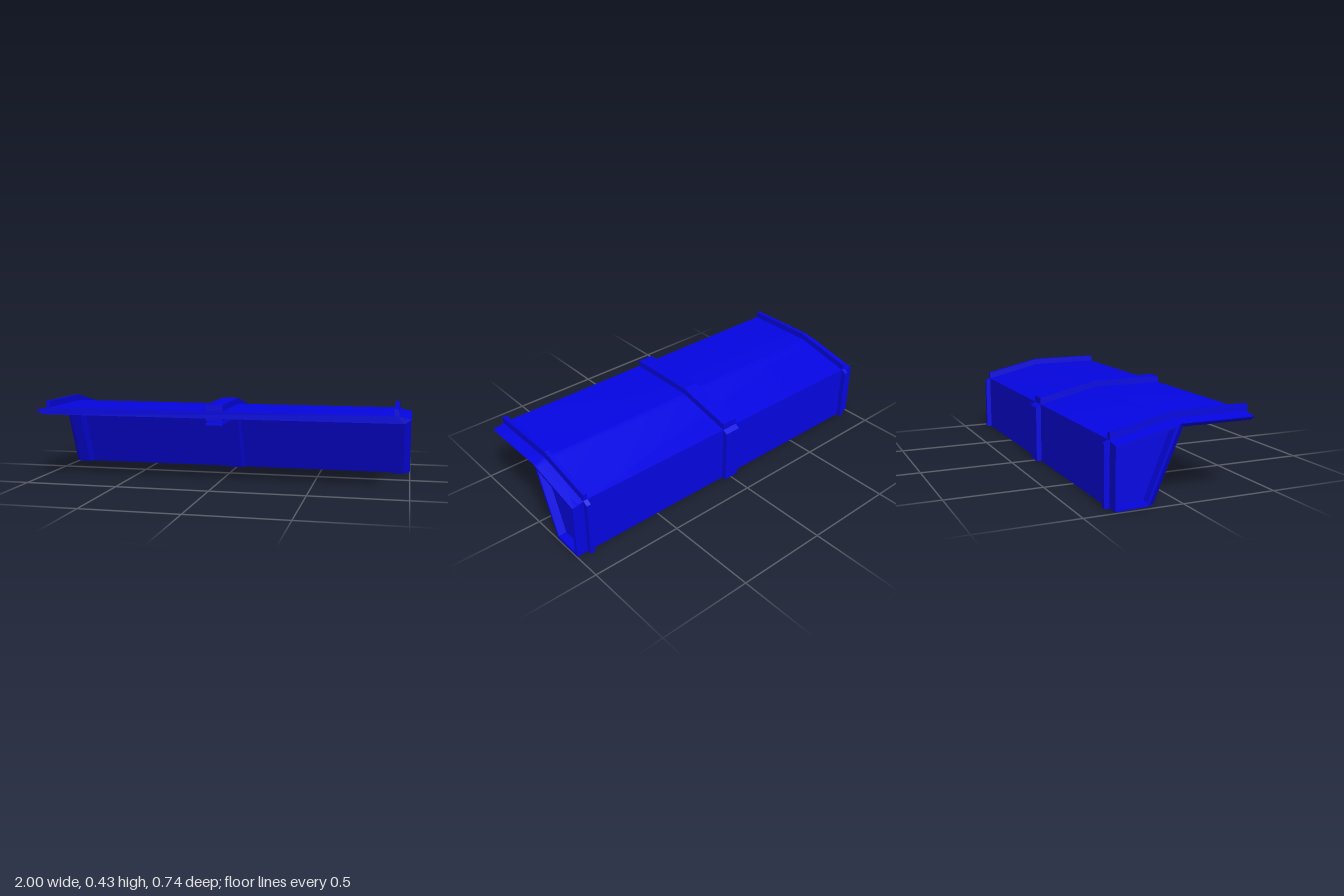
import * as THREE from 'three';
import { toCreasedNormals } from 'three/addons/utils/BufferGeometryUtils.js';

const material = new THREE.MeshStandardMaterial({ color: 0x0505e2 });

// Skin through a list of convex rings of [x, y, z], capped at both ends.
function loft(rings, flip = false) {
  const pos = [];
  const tri = (a, b, c) => pos.push(...a, ...(flip ? c : b), ...(flip ? b : c));
  const n = rings[0].length;
  for (let r = 0; r + 1 < rings.length; r++) {
    const a = rings[r], b = rings[r + 1];
    for (let i = 0; i < n; i++) {
      const j = (i + 1) % n;
      tri(a[i], a[j], b[j]);
      tri(a[i], b[j], b[i]);
    }
  }
  const first = rings[0], last = rings[rings.length - 1];
  for (let i = 1; i + 1 < n; i++) {
    tri(first[0], first[i + 1], first[i]);
    tri(last[0], last[i], last[i + 1]);
  }
  const geo = new THREE.BufferGeometry();
  geo.setAttribute('position', new THREE.Float32BufferAttribute(pos, 3));
  geo.computeVertexNormals();
  return toCreasedNormals(geo, THREE.MathUtils.degToRad(15));
}

// Side profile of [z, y] points, extruded along x and centred on x.
function prism(profile, width, x = 0, holes = []) {
  const toVec = ([z, y]) => new THREE.Vector2(-z, y);
  const shape = new THREE.Shape(profile.map(toVec));
  for (const hole of holes) shape.holes.push(new THREE.Path(hole.map(toVec)));
  const geo = new THREE.ExtrudeGeometry(shape, { depth: width, bevelEnabled: false });
  return geo.rotateY(Math.PI / 2).translate(x - width / 2, 0, 0);
}

export function createModel() {
  const model = new THREE.Group();
  const add = (name, geo, parent = model) => {
    const mesh = new THREE.Mesh(geo, material);
    mesh.name = name;
    parent.add(mesh);
  };

  // Bent roof slab with chamfered ends: upper edge, outer tip, lower edge
  const roofRing = ([topZ, top], [midZ, mid], [botZ, bot]) => [
    [0.92, top, topZ], [1, mid, midZ], [0.965, bot, botZ],
    [-0.965, bot, botZ], [-1, mid, midZ], [-0.92, top, topZ],
  ];
  add('roof', loft([
    roofRing([0.372, 0.395], [0.372, 0.378], [0.372, 0.355]),
    roofRing([-0.025, 0.395], [-0.025, 0.378], [0.01, 0.355]),
    roofRing([-0.05, 0.389], [-0.05, 0.372], [-0.05, 0.366]),
    roofRing([-0.345, 0.32], [-0.345, 0.305], [-0.345, 0.304]),
  ]));

  // Solid body behind the struts, with a sloping front
  add('body', prism([[0.01, 0.355], [-0.088, 0.31], [-0.22, 0],
    [-0.345, 0.003], [-0.345, 0.315], [-0.03, 0.385]], 1.84));

  // Chamfered end frames with a recessed panel
  const strut = [[0.01, 0.355], [-0.137, 0.01], [-0.22, 0.003], [-0.345, 0.003], [-0.345, 0.312]];
  const rim = [[-0.025, 0.378], [-0.18, 0.01], [-0.22, 0.009], [-0.345, 0.005], [-0.345, 0.305]];
  const opening = [[-0.05, 0.36], [-0.185, 0.028], [-0.22, 0.027], [-0.327, 0.022], [-0.327, 0.295]];
  for (const side of [1, -1]) {
    const ring = (x, outline) => outline.map(([z, y]) => [side * x, y, z]);
    add(side > 0 ? 'leftEndFrame' : 'rightEndFrame', loft([
      ring(0.905, strut), ring(0.965, strut), ring(1, rim),
      ring(1, opening), ring(0.955, opening),
    ], side < 0));
  }

  // Centre support under the roof
  add('centreSupport', prism(strut, 0.09));

  // Ribs running over the roof and down the back
  const roofRib = [[0.372, 0.385], [0.372, 0.428], [-0.025, 0.428],
    [-0.345, 0.355], [-0.345, 0.31], [-0.025, 0.385]];
  const backRib = [[-0.335, 0.315], [-0.345, 0.32], [-0.372, 0.305], [-0.372, 0.005], [-0.335, 0.005]];
  for (const [name, x, width] of [['centreRib', 0, 0.09], ['leftRib', 0.926, 0.023], ['rightRib', -0.926, 0.023]]) {
    const rib = new THREE.Group();
    rib.name = name;
    add('roofRib', prism(roofRib, width, x), rib);
    add('backRib', prism(backRib, width, x), rib);
    model.add(rib);
  }

  // Slotted bracket under the front of the roof; the foremost slot is open
  const slots = [[0.265, 0.21], [0.198, 0.13], [0.114, 0.058]].map(
    ([a, b]) => [[a, 0.333], [b, 0.333], [b, 0.343], [a, 0.343]]);
  add('slottedBracket', prism([
    [0.372, 0.357], [0.372, 0.343], [0.285, 0.343], [0.285, 0.333], [0.372, 0.333],
    [0.372, 0.32], [0.045, 0.32], [0.012, 0.334], [0.005, 0.357],
  ], 0.09, 0, slots));

  return model;
}
